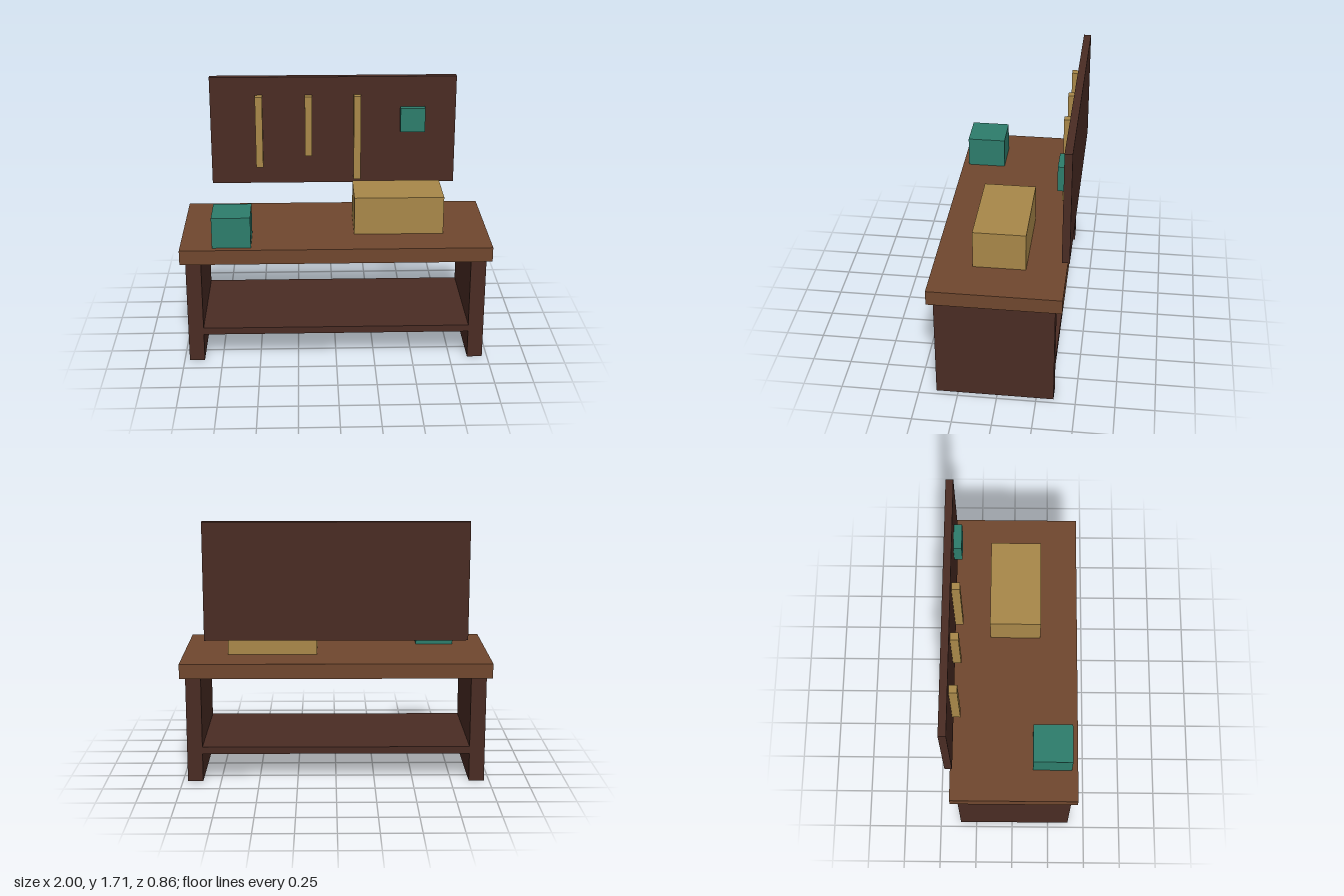
import * as THREE from 'three';

const material = (name, color) => {
  const m = new THREE.MeshStandardMaterial({ color });
  m.name = name;
  return m;
};

export function createModel() {
  const topWood = material('warm brown wood', 0x70472e);
  const darkWood = material('dark brown wood', 0x4a2c24);
  const tan = material('tan', 0xa98849);
  const teal = material('teal', 0x2d7d6c);

  const bench = new THREE.Group();
  bench.name = 'workbench';

  // Box given by its extents along each axis
  const block = (name, mat, [x0, x1], [y0, y1], [z0, z1]) => {
    const mesh = new THREE.Mesh(new THREE.BoxGeometry(x1 - x0, y1 - y0, z1 - z0), mat);
    mesh.position.set((x0 + x1) / 2, (y0 + y1) / 2, (z0 + z1) / 2);
    mesh.name = name;
    bench.add(mesh);
  };

  // Worktop, side panels and lower shelf
  const depth = [-0.36, 0.39];
  block('worktop', topWood, [-1, 1], [0.703, 0.8], [-0.405, 0.428]);
  block('leftLegPanel', darkWood, [0.868, 0.967], [0, 0.703], depth);
  block('rightLegPanel', darkWood, [-0.967, -0.868], [0, 0.703], depth);
  block('lowerShelf', darkWood, [-0.868, 0.868], [0.187, 0.233], depth);

  // Tool board with hanging tools
  const hung = [-0.382, -0.33];
  block('toolBoard', darkWood, [-0.832, 0.832], [0.96, 1.71], [-0.43, -0.382]);
  [[-0.503, 1.088], [-0.168, 1.168], [0.163, 1.0]].forEach(([x, bottom], i) =>
    block(`hangingTool${i + 1}`, tan, [x - 0.024, x + 0.024], [bottom, 1.586], hung));
  block('hangingBlock', teal, [0.455, 0.622], [1.335, 1.5], hung);

  // Boxes on the worktop
  block('smallBox', teal, [-0.793, -0.545], [0.8, 1.004], [0.135, 0.388]);
  block('largeBox', tan, [0.123, 0.706], [0.8, 1.052], [-0.153, 0.18]);

  return bench;
}
